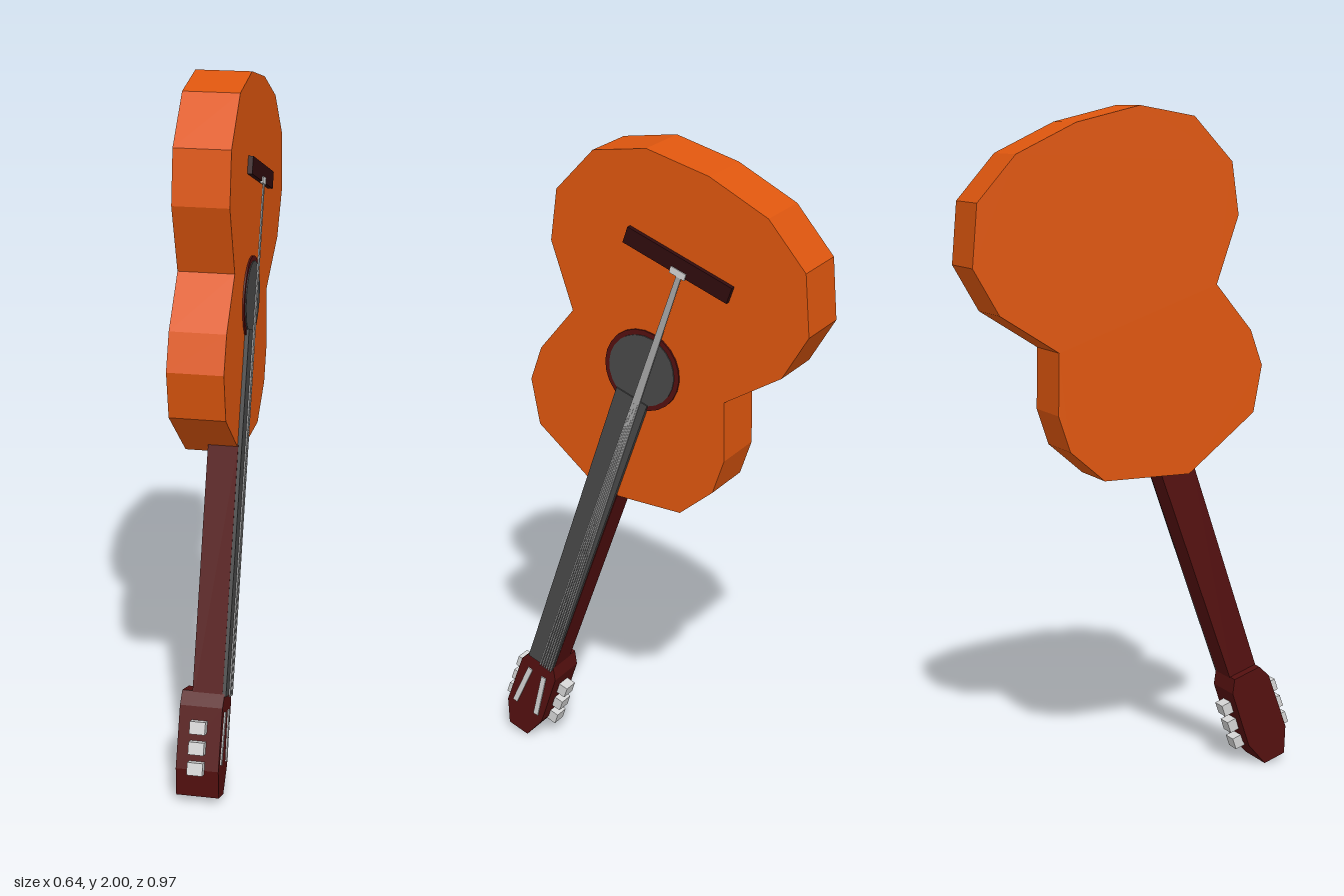
import * as THREE from 'three';

const mat = (name, color, extra = {}) => {
  const m = new THREE.MeshStandardMaterial({ color, ...extra });
  m.name = name;
  return m;
};

export function createModel() {
  const orange = mat('orange wood', 0xde560e);
  const redwood = mat('dark red wood', 0x54100f);
  const darkwood = mat('bridge wood', 0x300b0d);
  const charcoal = mat('charcoal', 0x484848);
  const stringGrey = mat('string grey', 0xa8a8a8);
  const metal = mat('pale metal', 0xd4d4d4);

  // Local frame: x across, y along the neck towards the bridge, z out of the soundboard
  const guitar = new THREE.Group();
  guitar.name = 'guitar';
  const add = (name, geometry, material, x = 0, y = 0, z = 0) => {
    const mesh = new THREE.Mesh(geometry, material);
    mesh.name = name;
    mesh.position.set(x, y, z);
    guitar.add(mesh);
    return mesh;
  };

  // Mirrored slab: half outline as [y, halfWidth], extruded from z0 to z1
  const slab = (half, z0, z1) => {
    const right = half.map(([y, w]) => new THREE.Vector2(w, y));
    const left = half.filter(([, w]) => w > 0).map(([y, w]) => new THREE.Vector2(-w, y)).reverse();
    const g = new THREE.ExtrudeGeometry(new THREE.Shape([...right, ...left]), { depth: z1 - z0, bevelEnabled: false });
    return g.translate(0, 0, z0);
  };

  // Faceted body
  add('body', slab([
    [0.633, 0], [0.612, 0.2], [0.527, 0.352], [0.364, 0.425], [0.212, 0.395],
    [0.048, 0.264], [-0.12, 0.326], [-0.232, 0.327], [-0.354, 0.256], [-0.443, 0],
  ], -0.09, 0.07), orange);

  // Sound hole and its ring
  const disc = (r, h) => new THREE.CylinderGeometry(r, r, h, 24).rotateX(Math.PI / 2);
  add('soundHoleRing', disc(0.122, 0.006), redwood, 0, 0, 0.072);
  add('soundHole', disc(0.107, 0.008), charcoal, 0, 0, 0.074);

  // Neck, fingerboard and head
  add('neck', slab([[-0.42, 0.054], [-1.18, 0.046]], -0.015, 0.072), redwood);
  add('fingerboard', slab([[-0.09, 0.054], [-1.135, 0.046]], 0.07, 0.082), charcoal);
  add('head', slab([
    [-1.125, 0.045], [-1.165, 0.066], [-1.345, 0.068], [-1.425, 0.036],
  ], -0.045, 0.078), redwood);

  // Head slots and tuning pegs on both sides
  for (const side of [-1, 1]) {
    const slot = add('headSlot', new THREE.BoxGeometry(0.017, 0.15, 0.008), metal, side * 0.034, -1.255, 0.078);
    slot.rotation.z = side * 0.1;
    for (let i = 0; i < 3; i++) {
      add('tuningPeg', new THREE.BoxGeometry(0.034, 0.036, 0.045), metal, side * 0.08, -1.222 - i * 0.058, 0.015);
    }
  }

  // Bridge and saddle
  add('bridge', new THREE.BoxGeometry(0.35, 0.05, 0.016), darkwood, 0, 0.358, 0.076);
  add('saddle', new THREE.BoxGeometry(0.05, 0.02, 0.008), metal, 0.012, 0.338, 0.083);

  // Six strings fanning from the saddle to the head
  for (let i = 0; i < 6; i++) {
    const t = i / 5;
    const a = new THREE.Vector2(0.012 + 0.012 * t, 0.335);
    const b = new THREE.Vector2(0.002 + 0.04 * t, -1.14);
    const d = b.clone().sub(a);
    const string = add('string', new THREE.BoxGeometry(0.004, d.length(), 0.004), stringGrey,
      (a.x + b.x) / 2, (a.y + b.y) / 2, 0.084);
    string.rotation.z = Math.atan2(d.x, -d.y);
  }

  // Stand it head down, leaning and turned
  const tilt = THREE.MathUtils.degToRad(19.3);
  const across = new THREE.Vector3(0.478, 0, 0.878);
  const up = new THREE.Vector3(0, 1, 0);
  const x = across.clone().multiplyScalar(-Math.cos(tilt)).addScaledVector(up, -Math.sin(tilt));
  const y = across.clone().multiplyScalar(-Math.sin(tilt)).addScaledVector(up, Math.cos(tilt));
  guitar.quaternion.setFromRotationMatrix(new THREE.Matrix4().makeBasis(x, y, x.clone().cross(y)));
  guitar.position.set(0.01, 1.357, 0.018);

  const model = new THREE.Group();
  model.name = 'model';
  model.add(guitar);
  return model;
}
